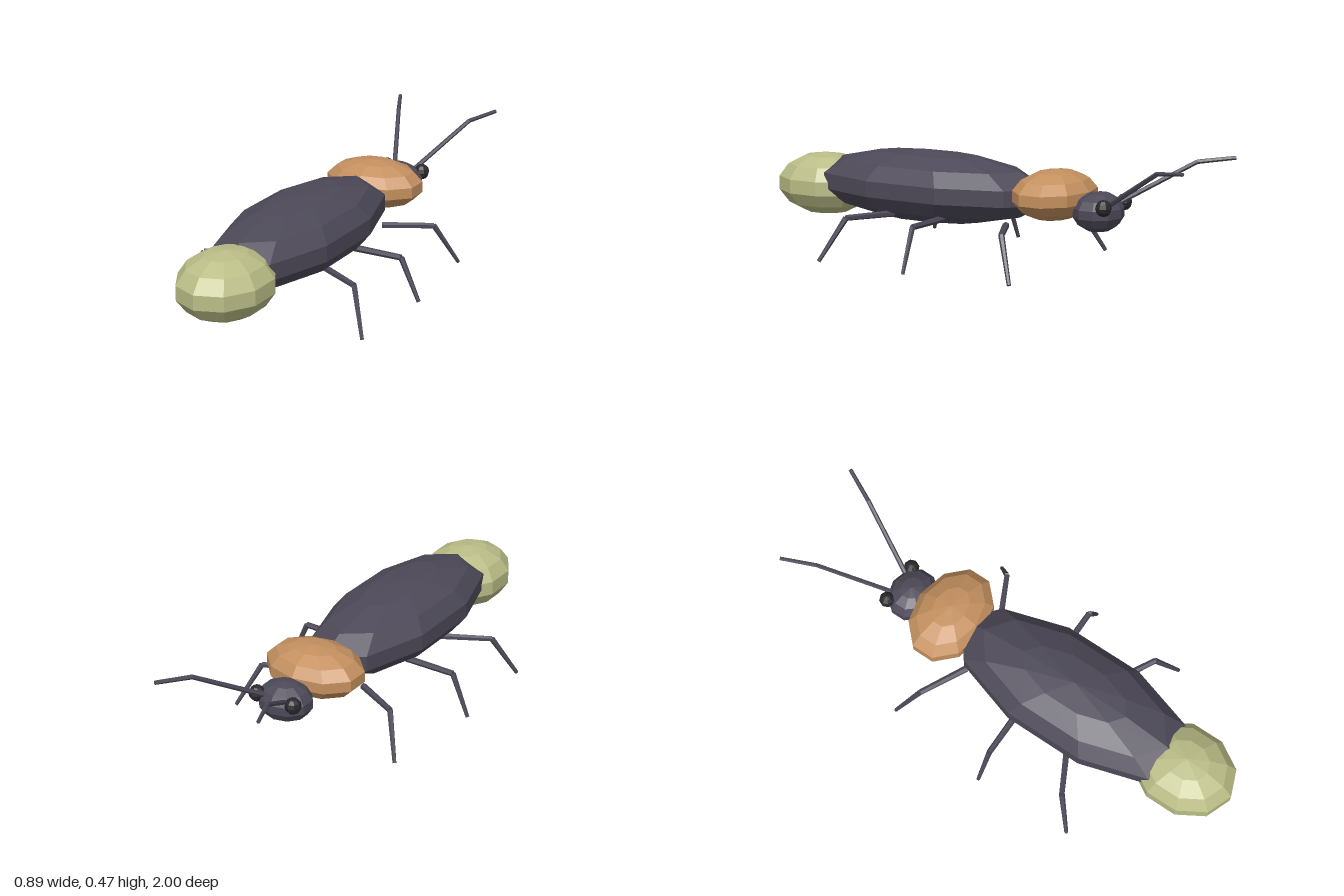
import * as THREE from 'three';

const flat = (color) => new THREE.MeshStandardMaterial({ color, flatShading: true });
const shell = flat(0x4d4958);
const amber = flat(0xc4905f);
const glow = flat(0xbabd86);
const black = flat(0x29292c);

// Faceted ellipsoid with a vertex line on its front and back
function ellipsoid(name, material, position, radii, sides = 10, rings = 7) {
  const geometry = new THREE.SphereGeometry(1, sides, rings);
  geometry.rotateY(Math.PI / 2);
  geometry.scale(...radii);
  const mesh = new THREE.Mesh(geometry, material);
  mesh.name = name;
  mesh.position.set(...position);
  return mesh;
}

// Thin tapered rod between two points
function rod(name, from, to, r0, r1) {
  const a = new THREE.Vector3(...from);
  const b = new THREE.Vector3(...to);
  const dir = b.clone().sub(a);
  const mesh = new THREE.Mesh(new THREE.CylinderGeometry(r1, r0, dir.length(), 6), shell);
  mesh.name = name;
  mesh.position.copy(a).add(b).multiplyScalar(0.5);
  mesh.quaternion.setFromUnitVectors(new THREE.Vector3(0, 1, 0), dir.normalize());
  return mesh;
}

// Two rods meeting at a joint
function jointed(name, [start, joint, end], radii) {
  const group = new THREE.Group();
  group.name = name;
  group.add(
    rod(name + 'Upper', start, joint, radii[0], radii[1]),
    rod(name + 'Lower', joint, end, radii[1], radii[2])
  );
  return group;
}

export function createModel() {
  const model = new THREE.Group();
  model.name = 'beetle';

  // Body segments from tail to head
  model.add(
    ellipsoid('tailLantern', glow, [0, 0.243, 0.785], [0.183, 0.132, 0.22]),
    ellipsoid('wingCase', shell, [0, 0.278, 0.26], [0.235, 0.147, 0.555]),
    ellipsoid('thorax', amber, [0, 0.295, -0.333], [0.216, 0.1, 0.156]),
    ellipsoid('head', shell, [0, 0.245, -0.527], [0.115, 0.08, 0.1])
  );

  // Hip, knee and foot of the legs on the left
  const legs = {
    frontLeg: [[0.12, 0.175, -0.18], [0.31, 0.178, -0.275], [0.386, 0.006, -0.355]],
    middleLeg: [[0.14, 0.177, 0.1], [0.36, 0.178, 0.1], [0.437, 0.006, 0.095]],
    rearLeg: [[0.15, 0.177, 0.335], [0.34, 0.178, 0.435], [0.42, 0.006, 0.515]],
  };
  const antenna = [[0.05, 0.285, -0.6], [0.173, 0.445, -0.86], [0.237, 0.463, -0.993]];

  // Eyes, antennae and legs on both sides
  for (const [side, s] of [['left', 1], ['right', -1]]) {
    const mirror = (points) => points.map(([x, y, z]) => [s * x, y, z]);
    model.add(ellipsoid(side + 'Eye', black, [s * 0.085, 0.277, -0.593], [0.033, 0.033, 0.033], 8, 6));
    model.add(jointed(side + 'Antenna', mirror(antenna), [0.01, 0.009, 0.008]));
    for (const [name, points] of Object.entries(legs)) {
      model.add(jointed(side + name[0].toUpperCase() + name.slice(1), mirror(points), [0.014, 0.012, 0.008]));
    }
  }
  return model;
}
